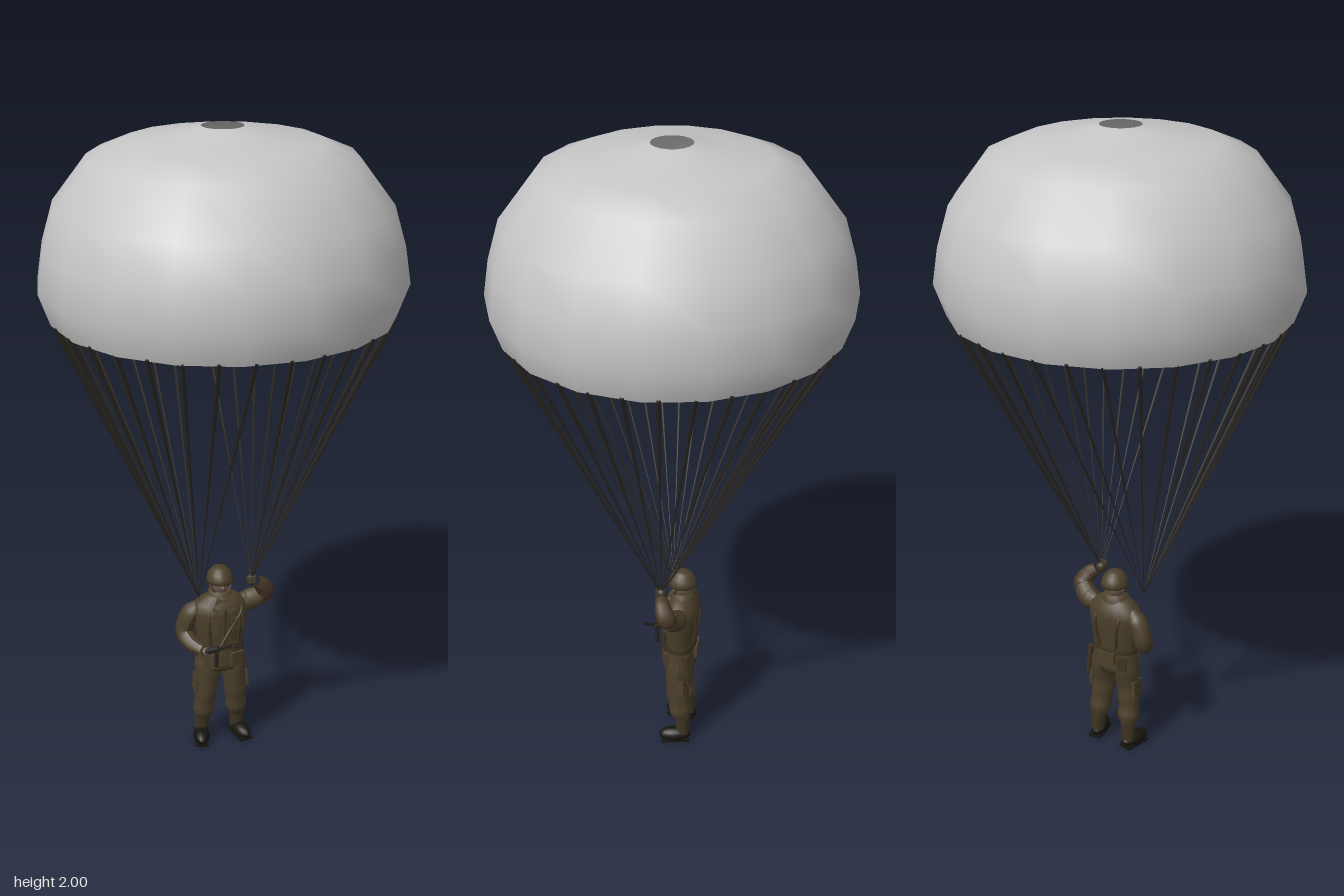
import * as THREE from 'three';

const V = (x, y, z) => new THREE.Vector3(x, y, z);
const paint = (name, color, side = THREE.FrontSide) => {
  const m = new THREE.MeshStandardMaterial({ color, side });
  m.name = name;
  return m;
};

export function createModel() {
  const model = new THREE.Group();
  model.name = 'parachutist';
  const mat = {
    silk: paint('canopySilk', 0xc6c6c6, THREE.DoubleSide),
    cord: paint('cord', 0x2b2721),
    cloth: paint('uniformCloth', 0x4a3f2a),
    sleeve: paint('raisedSleeve', 0x4a3828),
    gear: paint('webbing', 0x3d3422),
    helmet: paint('helmetGreen', 0x4a402b),
    skin: paint('skin', 0x6c5a4c),
    black: paint('boots', 0x17150f),
    steel: paint('gunmetal', 0x24221f),
  };

  const add = (name, geo, m, parent = model) => {
    const mesh = new THREE.Mesh(geo, m);
    mesh.name = name;
    parent.add(mesh);
    return mesh;
  };
  const box = (name, m, size, pos, rot = [0, 0, 0], parent = model) => {
    const b = add(name, new THREE.BoxGeometry(...size), m, parent);
    b.position.set(...pos);
    b.rotation.set(...rot);
    return b;
  };
  const ball = (name, m, scale, pos, parent = model) => {
    const s = add(name, new THREE.SphereGeometry(1, 14, 10), m, parent);
    s.scale.set(...scale);
    s.position.set(...pos);
    return s;
  };
  // Tapered rod between two points
  const rod = (name, m, a, b, ra, rb, sides = 8, parent = model) => {
    const d = b.clone().sub(a);
    const r = add(name, new THREE.CylinderGeometry(rb, ra, d.length(), sides), m, parent);
    r.position.copy(a).add(b).multiplyScalar(0.5);
    r.quaternion.setFromUnitVectors(V(0, 1, 0), d.normalize());
    return r;
  };
  // Curved limb whose thickness follows a list of radii
  const limb = (name, m, pts, radii, parent = model) => {
    const curve = new THREE.CatmullRomCurve3(pts.map(p => V(...p)));
    const n = 20, sides = 10;
    const geo = new THREE.TubeGeometry(curve, n, 1, sides);
    const pos = geo.attributes.position;
    for (let i = 0; i <= n; i++) {
      const c = curve.getPointAt(i / n);
      const f = (i / n) * (radii.length - 1);
      const k = Math.min(Math.floor(f), radii.length - 2);
      const r = THREE.MathUtils.lerp(radii[k], radii[k + 1], f - k);
      for (let j = 0; j <= sides; j++) {
        const q = i * (sides + 1) + j;
        const p = V(0, 0, 0).fromBufferAttribute(pos, q).sub(c).multiplyScalar(r).add(c);
        pos.setXYZ(q, p.x, p.y, p.z);
      }
    }
    geo.computeVertexNormals();
    return add(name, geo, m, parent);
  };
  // Flattened lathe for body parts, profile as [radius, y]
  const turned = (name, m, profile, depth, pos, sides = 18, parent = model) => {
    const t = add(name, new THREE.LatheGeometry(profile.map(p => new THREE.Vector2(...p)), sides), m, parent);
    t.scale.z = depth;
    t.position.set(...pos);
    return t;
  };

  // Canopy with an open vent at the crown
  const canopy = [[0.51, 1.456], [0.544, 1.55], [0.527, 1.66], [0.492, 1.78], [0.39, 1.915],
    [0.29, 1.957], [0.2, 1.965], [0.062, 2.0]].map(p => new THREE.Vector2(...p));
  add('canopy', new THREE.LatheGeometry(canopy, 18, Math.PI / 2), mat.silk).scale.z = 0.993;

  // Suspension lines, gathered into one bundle on each side
  const lines = new THREE.Group();
  lines.name = 'suspensionLines';
  model.add(lines);
  for (let i = 0; i < 32; i++) {
    const a = (i + 0.5) / 32 * Math.PI * 2;
    const top = V(0.506 * Math.cos(a), 1.462, 0.502 * Math.sin(a));
    const end = top.x > 0 ? V(0.085, 0.575, 0.02) : V(-0.08, 0.535, 0.01);
    rod('line', mat.cord, end, top, 0.0008, 0.0065, 4, lines);
  }

  // Soldier
  const man = new THREE.Group();
  man.name = 'soldier';
  model.add(man);

  // Legs and boots
  for (const s of [-1, 1]) {
    limb('trouserLeg', mat.cloth,
      [[s * 0.038, 0.31, -0.035], [s * 0.045, 0.22, -0.025], [s * 0.052, 0.15, -0.03], [s * 0.056, 0.075, -0.042]],
      [0.042, 0.045, 0.041, 0.036, 0.037, 0.033, 0.036, 0.022], man);
    box('legPocket', mat.cloth, [0.012, 0.055, 0.045], [s * 0.081, 0.215, -0.028], [0, 0, s * 0.06], man);
    rod('bootShaft', mat.gear, V(s * 0.06, 0.025, -0.045), V(s * 0.057, 0.09, -0.043), 0.022, 0.025, 10, man);
    const foot = ball('bootFoot', mat.black, [0.026, 0.024, 0.052], [s * 0.066, 0.021, -0.02], man);
    foot.rotation.y = s * 0.2;
    box('bootSole', mat.black, [0.042, 0.008, 0.09], [s * 0.066, 0.004, -0.022], [0, s * 0.2, 0], man);
  }

  // Jacket, collar and pockets
  turned('jacket', mat.cloth, [[0, 0.265], [0.075, 0.265], [0.082, 0.29], [0.075, 0.345], [0.076, 0.365],
    [0.086, 0.42], [0.092, 0.465], [0.083, 0.498], [0.055, 0.517], [0.03, 0.527], [0, 0.53]], 0.62, [0, 0, -0.03], 18, man);
  turned('collar', mat.cloth, [[0.045, 0.508], [0.037, 0.535], [0, 0.535]], 0.85, [0, 0, -0.033], 12, man);
  turned('belt', mat.gear, [[0.074, 0.34], [0.079, 0.341], [0.079, 0.361], [0.074, 0.362]], 0.64, [0, 0, -0.03], 18, man);
  box('jacketPlacket', mat.gear, [0.007, 0.13, 0.006], [0.002, 0.42, 0.0235], [0.03, 0, 0], man);
  for (const s of [-1, 1]) {
    box('chestPocket', mat.cloth, [0.042, 0.045, 0.012], [s * 0.043, 0.435, 0.018], [0, s * 0.3, s * 0.15], man);
    box('hipPocket', mat.cloth, [0.045, 0.045, 0.012], [s * 0.043, 0.305, 0.015], [0, s * 0.35, 0], man);
    box('ammoPouch', mat.gear, [0.026, 0.03, 0.012], [s * 0.042, 0.35, 0.016], [0, s * 0.35, 0], man);
    box('lapel', mat.cloth, [0.024, 0.045, 0.008], [s * 0.018, 0.497, 0.013], [-0.35, 0, s * 0.5], man);
    // Harness from the shoulder to the belt, front and back
    limb('harnessStrap', mat.gear, [[s * 0.045, 0.36, 0.016], [s * 0.05, 0.45, 0.019], [s * 0.046, 0.512, -0.02],
      [s * 0.043, 0.46, -0.08], [s * 0.03, 0.36, -0.074]], [0.005, 0.005], man);
  }
  box('backPouch', mat.cloth, [0.06, 0.04, 0.02], [0, 0.325, -0.076], [0, 0, 0], man);
  box('canteen', mat.gear, [0.03, 0.045, 0.02], [-0.05, 0.31, -0.066], [0, 0.5, 0], man);

  // Bayonet sheath on the left hip
  rod('sheath', mat.gear, V(0.082, 0.235, -0.066), V(0.076, 0.335, -0.057), 0.006, 0.009, 8, man);

  // Right arm, hand on hip
  limb('rightSleeve', mat.cloth, [[-0.066, 0.49, -0.037], [-0.097, 0.45, -0.042], [-0.114, 0.395, -0.042],
    [-0.1, 0.367, -0.008], [-0.073, 0.355, 0.024]], [0.018, 0.032, 0.031, 0.029, 0.028, 0.025, 0.02], man);
  ball('rightHand', mat.skin, [0.017, 0.014, 0.014], [-0.062, 0.353, 0.034], man);

  // Left arm, raised to the lines
  limb('leftUpperSleeve', mat.cloth, [[0.062, 0.485, -0.036], [0.1, 0.488, -0.028], [0.134, 0.51, -0.012]],
    [0.02, 0.035, 0.034, 0.031], man);
  limb('leftForearmSleeve', mat.sleeve, [[0.125, 0.502, -0.016], [0.14, 0.52, -0.006], [0.127, 0.549, 0.008],
    [0.102, 0.571, 0.018]], [0.026, 0.031, 0.028, 0.024, 0.018], man);
  ball('leftHand', mat.gear, [0.017, 0.018, 0.016], [0.088, 0.579, 0.019], man);
  for (let i = 0; i < 4; i++) {
    rod('finger', mat.gear, V(0.076, 0.573 + i * 0.006, 0.033), V(0.099, 0.577 + i * 0.006, 0.033), 0.004, 0.004, 6, man);
  }

  // Submachine gun held across the front
  rod('gunBody', mat.steel, V(-0.075, 0.35, 0.03), V(-0.03, 0.375, 0.064), 0.01, 0.009, 8, man);
  rod('gunBarrel', mat.steel, V(-0.03, 0.375, 0.064), V(0.0, 0.398, 0.094), 0.005, 0.004, 8, man);
  rod('gunMagazine', mat.steel, V(-0.036, 0.305, 0.053), V(-0.036, 0.37, 0.058), 0.006, 0.006, 6, man);
  limb('gunSling', mat.gear, [[-0.03, 0.37, 0.06], [0.01, 0.41, 0.032], [0.055, 0.475, 0.02], [0.065, 0.502, -0.03]],
    [0.004, 0.004], man);

  // Head with face and helmet
  rod('neck', mat.skin, V(0, 0.505, -0.036), V(0, 0.55, -0.033), 0.022, 0.022, 10, man);
  ball('face', mat.skin, [0.03, 0.038, 0.034], [0, 0.556, -0.03], man);
  ball('nose', mat.skin, [0.005, 0.008, 0.008], [0, 0.553, 0.004], man);
  for (const s of [-1, 1]) {
    ball('eye', mat.black, [0.005, 0.003, 0.003], [s * 0.011, 0.562, 0.0015], man);
    ball('ear', mat.skin, [0.005, 0.01, 0.007], [s * 0.03, 0.555, -0.034], man);
    limb('chinStrap', mat.gear, [[s * 0.034, 0.572, -0.027], [s * 0.029, 0.545, -0.014], [0, 0.518, -0.008]],
      [0.003, 0.003], man);
  }
  turned('helmet', mat.helmet, [[0.034, 0.566], [0.044, 0.564], [0.041, 0.578], [0.036, 0.594], [0.024, 0.608],
    [0.012, 0.613], [0, 0.614]], 1.08, [0, 0, -0.033], 18, man);

  return model;
}
